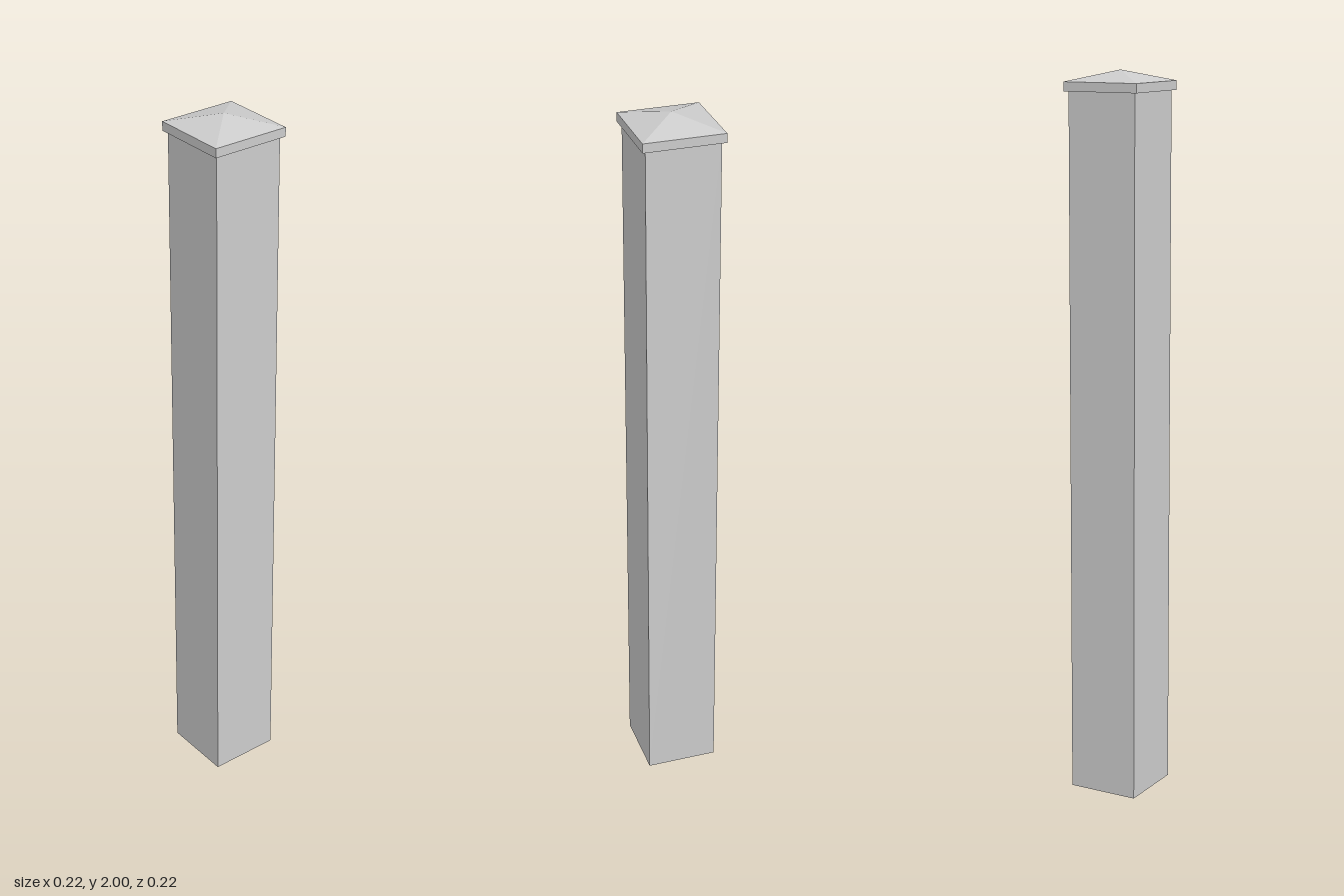
import * as THREE from 'three';

export function createModel() {
  const group = new THREE.Group();
  const material = new THREE.MeshStandardMaterial({ color: 0xcccccc, flatShading: true });

  const postWidth = 0.2, capWidth = 0.22;
  const capBottom = 1.945, capTop = 1.97, peak = 2;

  const add = (name, geometry, bottom, top) => {
    const mesh = new THREE.Mesh(geometry, material);
    mesh.name = name;
    mesh.position.y = (bottom + top) / 2;
    group.add(mesh);
  };

  // Square shaft
  add('post', new THREE.BoxGeometry(postWidth, capBottom, postWidth), 0, capBottom);

  // Overhanging slab of the cap
  add('capSlab', new THREE.BoxGeometry(capWidth, capTop - capBottom, capWidth), capBottom, capTop);

  // Low four-sided pyramid, turned so its edges run to the slab corners
  const pyramid = new THREE.ConeGeometry(capWidth / Math.SQRT2, peak - capTop, 4, 1, true);
  pyramid.rotateY(Math.PI / 4);
  add('capPyramid', pyramid, capTop, peak);

  return group;
}
